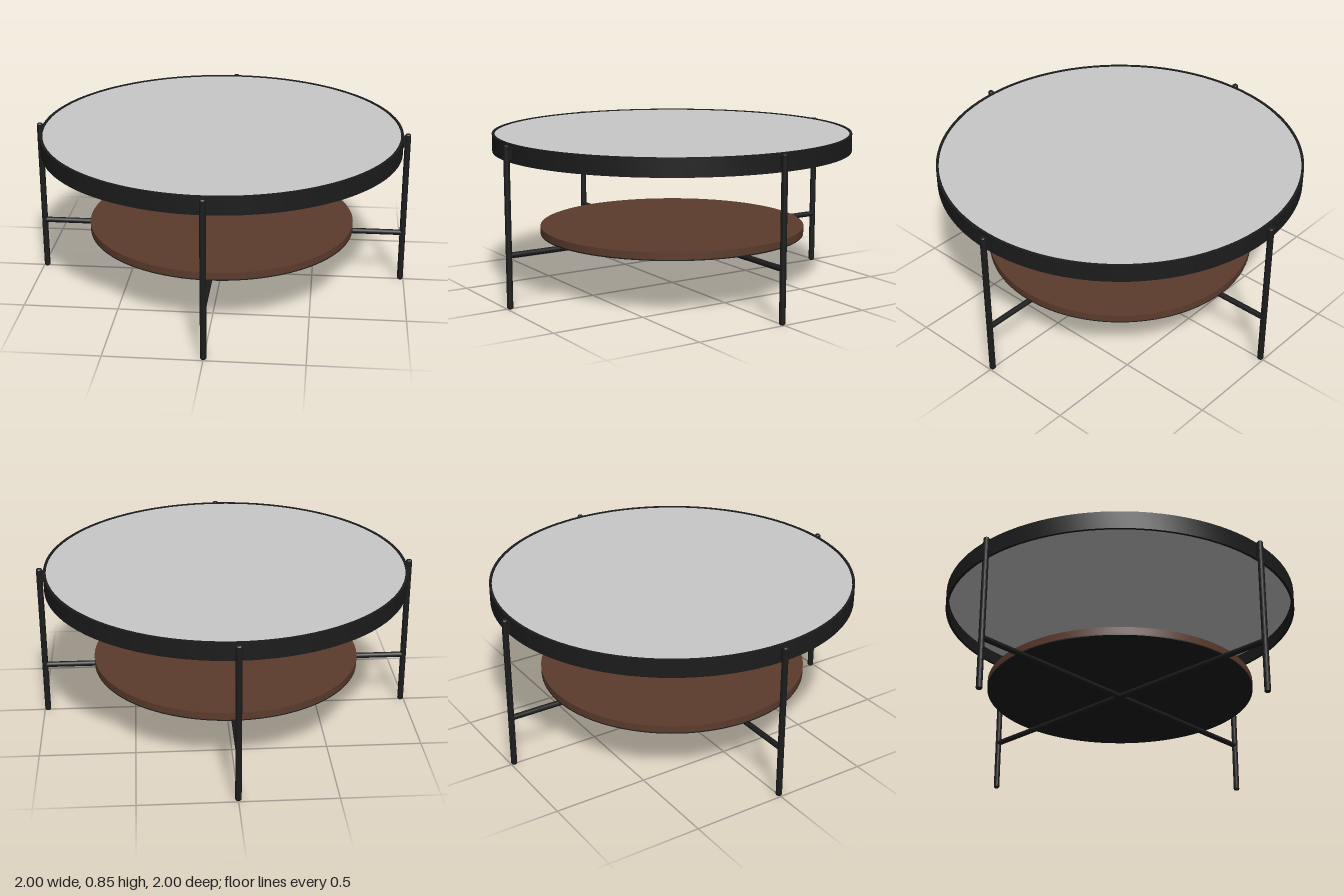
import * as THREE from 'three';
import { toCreasedNormals } from 'three/addons/utils/BufferGeometryUtils.js';

const mat = (name, color) => {
  const m = new THREE.MeshStandardMaterial({ color });
  m.name = name;
  return m;
};

// Solid of revolution with crisp edges; points run up the outside
function turned(points, segments) {
  const g = new THREE.LatheGeometry(points.map(([r, y]) => new THREE.Vector2(r, y)), segments);
  return toCreasedNormals(g, 0.5);
}

export function createModel() {
  const black = mat('blackMetal', 0x1c1c1c);
  const grey = mat('greyTop', 0xc8c8c8);
  const brown = mat('brownWood', 0x5c3b2d);

  const group = new THREE.Group();
  group.name = 'roundTable';
  const add = (name, geometry, material, y = 0) => {
    const mesh = new THREE.Mesh(geometry, material);
    mesh.name = name;
    mesh.position.y = y;
    group.add(mesh);
    return mesh;
  };

  // Table top: thin hoop around an inset disc
  add('topRim', turned([[0.96, 0.75], [0.96, 0.845], [0.946, 0.845], [0.946, 0.75], [0.96, 0.75]], 96), black);
  add('topPanel', new THREE.CylinderGeometry(0.947, 0.947, 0.016, 96), grey, 0.832);

  // Lower shelf: wooden disc with a dark underside
  add('shelf', new THREE.CylinderGeometry(0.713, 0.713, 0.037, 96), brown, 0.3165);
  add('shelfUnderside', new THREE.CylinderGeometry(0.713, 0.713, 0.006, 96), black, 0.295);

  // Four legs with softened ends
  const legR = 0.016, legAt = 0.983, legTop = 0.842;
  const legGeometry = turned([
    [0, 0], [legR - 0.005, 0], [legR, 0.006],
    [legR, legTop - 0.006], [legR - 0.005, legTop], [0, legTop],
  ], 20);
  const stubGeometry = new THREE.BoxGeometry(0.03, 0.06, 0.02);
  for (let i = 0; i < 4; i++) {
    const a = i * Math.PI / 2;
    const leg = add('leg', legGeometry, black);
    leg.position.set(Math.cos(a) * legAt, 0, Math.sin(a) * legAt);
    // Weld joining the leg to the rim
    const stub = add('legJoint', stubGeometry, black, 0.8);
    stub.position.x = Math.cos(a) * 0.967;
    stub.position.z = Math.sin(a) * 0.967;
    stub.rotation.y = -a;
  }

  // Crossed bars under the shelf
  const barGeometry = new THREE.CylinderGeometry(0.015, 0.015, legAt * 2, 20);
  add('crossBarX', barGeometry, black, 0.278).rotation.z = Math.PI / 2;
  add('crossBarZ', barGeometry, black, 0.278).rotation.x = Math.PI / 2;

  return group;
}
